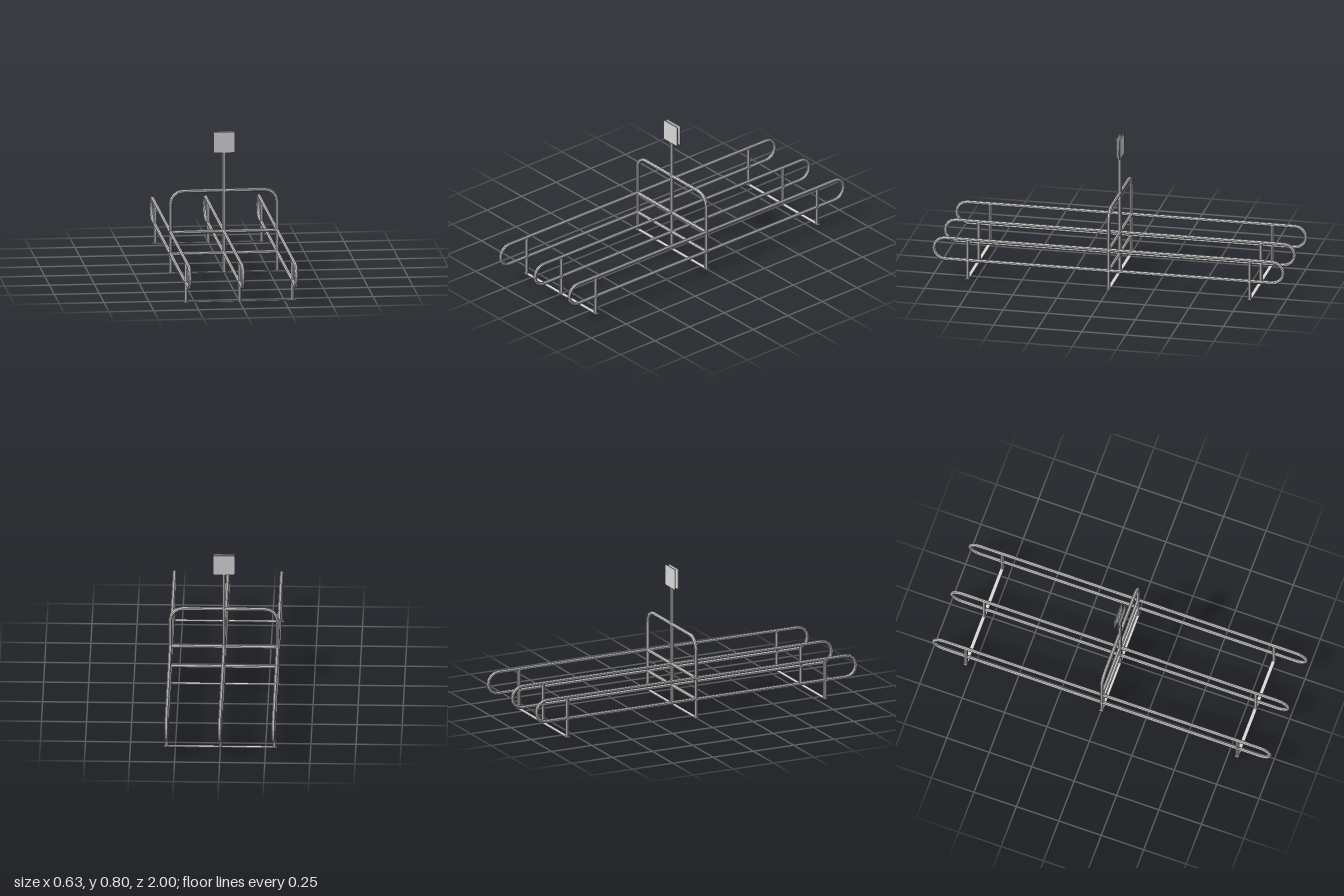
import * as THREE from 'three';

const R = 0.0103, SIDES = 8;
const V = (x, y, z) => new THREE.Vector3(x, y, z);

// Sweep an octagonal pipe along a planar path; `side` is the normal of that plane.
function pipe(points, side, closed = false) {
  const n = points.length, pos = [], idx = [];
  points.forEach((p, i) => {
    const prev = closed ? points[(i + n - 1) % n] : points[Math.max(i - 1, 0)];
    const next = closed ? points[(i + 1) % n] : points[Math.min(i + 1, n - 1)];
    const a = p.clone().sub(prev).normalize(), b = next.clone().sub(p).normalize();
    const t = a.clone().add(b).normalize();
    const miter = 1 / Math.max(t.dot(b), t.dot(a));
    const out = t.clone().cross(side).multiplyScalar(miter);
    for (let k = 0; k < SIDES; k++) {
      const ang = ((k + 0.5) / SIDES) * Math.PI * 2;
      const v = p.clone().addScaledVector(out, R * Math.cos(ang)).addScaledVector(side, R * Math.sin(ang));
      pos.push(v.x, v.y, v.z);
    }
  });
  for (let i = 0; i < (closed ? n : n - 1); i++) {
    const j = (i + 1) % n;
    for (let k = 0; k < SIDES; k++) {
      const l = (k + 1) % SIDES;
      const a = i * SIDES + k, b = i * SIDES + l, c = j * SIDES + l, d = j * SIDES + k;
      idx.push(a, c, b, a, d, c);
    }
  }
  // End caps
  if (!closed) for (let k = 1; k < SIDES - 1; k++) {
    const e = (n - 1) * SIDES;
    idx.push(0, k, k + 1, e, e + k + 1, e + k);
  }
  const g = new THREE.BufferGeometry();
  g.setAttribute('position', new THREE.Float32BufferAttribute(pos, 3));
  g.setIndex(idx);
  const flat = g.toNonIndexed();
  flat.computeVertexNormals();
  return flat;
}

// Points of a circular bend, in plane coordinates (u, v)
function bend(cu, cv, r, from, to, steps) {
  return Array.from({ length: steps + 1 }, (_, i) => {
    const a = from + ((to - from) * i) / steps;
    return [cu + r * Math.cos(a), cv + r * Math.sin(a)];
  });
}

export function createModel() {
  const model = new THREE.Group();
  model.name = 'bikeRack';
  const steel = new THREE.MeshStandardMaterial({ color: 0xd9d9d9 });
  steel.name = 'galvanisedSteel';

  const add = (name, geometry, x = 0, y = 0, z = 0) => {
    const m = new THREE.Mesh(geometry, steel);
    m.name = name;
    m.position.set(x, y, z);
    model.add(m);
  };

  const X = 0.297, TOP = 0.231, LOW = 0.109, PI = Math.PI;
  const alongX = V(1, 0, 0), alongZ = V(0, 0, 1);

  // Long wheel rails: closed loops with rounded ends
  const mid = (TOP + LOW) / 2, r = (TOP - LOW) / 2, end = 0.9905 - r;
  const loop = [...bend(end, mid, r, -PI / 2, PI / 2, 8), ...bend(-end, mid, r, PI / 2, 1.5 * PI, 8)];
  for (const x of [-X, 0, X]) {
    add('railLoop', pipe(loop.map(([z, y]) => V(x, y, z)), alongX, true));
    // End legs
    for (const z of [-0.8, 0.8]) add('leg', pipe([V(x, 0, z), V(x, TOP, z)], alongZ));
  }

  // Central arch
  const archTop = 0.4625, br = 0.07;
  const arch = [[X, 0], ...bend(X - br, archTop - br, br, 0, PI / 2, 4),
    ...bend(br - X, archTop - br, br, PI / 2, PI, 4), [-X, 0]];
  add('arch', pipe(arch.map(([x, y]) => V(x, y, 0)), alongZ));

  // Cross bars and sign post
  for (const y of [LOW, TOP]) add('crossBar', pipe([V(-X, y, 0), V(X, y, 0)], alongZ));
  add('signPost', pipe([V(0, 0, 0), V(0, 0.712, 0)], alongZ));

  // Floor strips
  for (const z of [-0.8, 0, 0.8]) add('floorStrip', new THREE.BoxGeometry(0.626, 0.004, 0.021), 0, 0.002, z);

  // Pair of rounded sign plates, either side of the post
  const w = 0.06, h = 0.059, c = 0.009;
  const corners = [[w - c, h - c, 0], [c - w, h - c, 1], [c - w, c - h, 2], [w - c, c - h, 3]];
  const outline = corners.flatMap(([x, y, q]) => bend(x, y, c, (q * PI) / 2, ((q + 1) * PI) / 2, 4));
  const plate = new THREE.ExtrudeGeometry(
    new THREE.Shape(outline.map(([x, y]) => new THREE.Vector2(x, y))), { depth: 0.005, bevelEnabled: false });
  for (const z of [0.0075, -0.0125]) add('signPlate', plate, 0, 0.736, z);

  return model;
}
